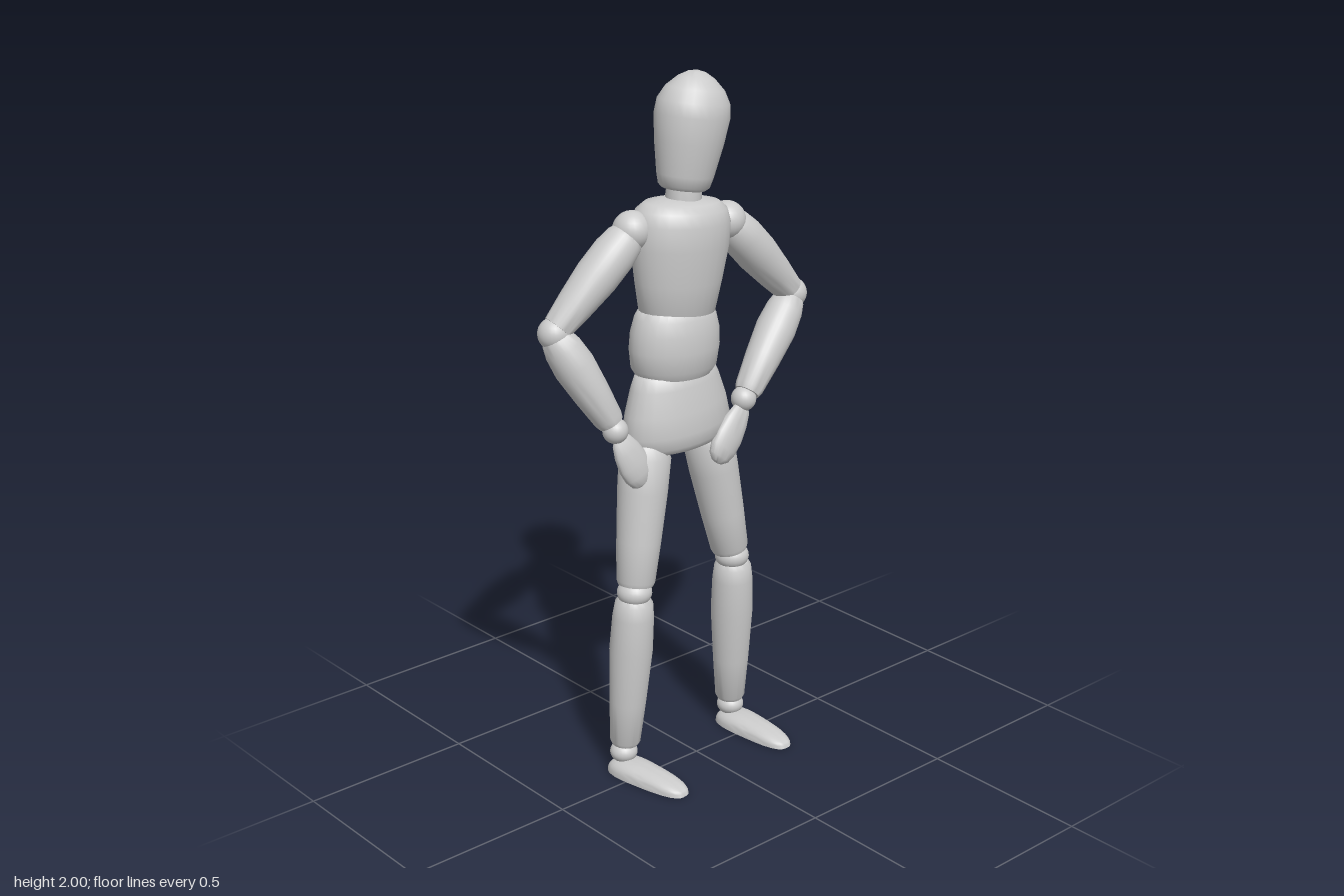
import * as THREE from 'three';
import { toCreasedNormals } from 'three/addons/utils/BufferGeometryUtils.js';

const material = new THREE.MeshStandardMaterial({ color: 0xcccccc });
const UP = new THREE.Vector3(0, 1, 0);

export function createModel() {
  const model = new THREE.Group();
  model.name = 'posableFigure';

  const add = (name, geometry) => {
    const mesh = new THREE.Mesh(geometry, material);
    mesh.name = name;
    model.add(mesh);
    return mesh;
  };

  // Turned part along the axis from a (lower) to b (upper).
  // profile: [fraction along the axis, radius]; depth flattens it front to back; yaw twists it.
  const turned = (name, a, b, profile, depth = 1, yaw = 0) => {
    const from = new THREE.Vector3(...a);
    const dir = new THREE.Vector3(...b).sub(from);
    const length = dir.length();
    const points = profile.map(([t, r]) => new THREE.Vector2(r, t * length));
    const lathe = new THREE.LatheGeometry(points, 28).scale(1, 1, depth).rotateY(yaw);
    const mesh = add(name, toCreasedNormals(lathe, 0.7));
    mesh.position.copy(from);
    mesh.quaternion.setFromUnitVectors(UP, dir.normalize());
  };

  const ball = (name, p, r, sy = 1) =>
    add(name, new THREE.SphereGeometry(r, 24, 16).scale(1, sy, 1)).position.set(...p);

  // Head and neck
  turned('head', [0.008, 1.685, -0.062], [0.058, 2.0, -0.062], [
    [0, 0], [0, 0.062], [0.03, 0.074], [0.12, 0.082], [0.4, 0.099], [0.62, 0.108],
    [0.74, 0.104], [0.85, 0.084], [0.94, 0.052], [0.985, 0.025], [1, 0]], 0.89);
  turned('neck', [0.006, 1.63, -0.062], [0.012, 1.71, -0.062],
    [[0, 0], [0, 0.048], [0.5, 0.05], [1, 0.046], [1, 0]]);

  // Torso
  turned('chest', [-0.016, 1.335, -0.063], [0.004, 1.662, -0.063], [
    [0, 0], [0, 0.105], [0.04, 0.114], [0.3, 0.13], [0.6, 0.146], [0.8, 0.147],
    [0.91, 0.135], [0.97, 0.11], [1, 0.06], [1, 0]], 0.71, -0.14);
  turned('abdomen', [-0.024, 1.17, -0.068], [-0.018, 1.365, -0.066], [
    [0, 0], [0, 0.115], [0.12, 0.131], [0.4, 0.138], [0.65, 0.135], [0.86, 0.124],
    [0.96, 0.112], [1, 0.09], [1, 0]], 0.72, -0.08);
  turned('pelvis', [-0.012, 0.962, -0.068], [-0.023, 1.195, -0.068], [
    [0, 0], [0, 0.13], [0.03, 0.155], [0.1, 0.17], [0.25, 0.178], [0.5, 0.167],
    [0.8, 0.145], [0.95, 0.13], [1, 0.11], [1, 0]], 0.58);

  // Joint positions of each arm and leg
  const sides = [
    {
      side: 'left', shoulder: [0.15, 1.578, -0.045], armTop: [0.162, 1.568, -0.045],
      armEnd: [0.381, 1.338, -0.036], elbow: [0.39, 1.325, -0.034],
      foreTop: [0.388, 1.318, -0.033], foreEnd: [0.183, 1.083, 0.008],
      wrist: [0.168, 1.068, 0.01], handTop: [0.168, 1.053, 0.014], handTip: [0.05, 0.908, 0.026],
      hip: [0.088, 1.0, -0.066], thighEnd: [0.17, 0.588, -0.046], knee: [0.179, 0.565, -0.047],
      shinTop: [0.182, 0.548, -0.046], shinEnd: [0.2, 0.085, -0.075],
      ankle: [0.206, 0.057, -0.08], foot: [0.21, 0, 0.022], toeTurn: 0.03,
    },
    {
      side: 'right', shoulder: [-0.15, 1.592, -0.09], armTop: [-0.162, 1.58, -0.092],
      armEnd: [-0.377, 1.358, -0.13], elbow: [-0.386, 1.342, -0.134],
      foreTop: [-0.387, 1.338, -0.132], foreEnd: [-0.264, 1.083, -0.05],
      wrist: [-0.255, 1.06, -0.043], handTop: [-0.25, 1.045, -0.036], handTip: [-0.175, 0.89, -0.015],
      hip: [-0.128, 1.0, -0.064], thighEnd: [-0.196, 0.588, -0.036], knee: [-0.199, 0.565, -0.037],
      shinTop: [-0.2, 0.548, -0.037], shinEnd: [-0.22, 0.085, -0.062],
      ankle: [-0.222, 0.057, -0.066], foot: [-0.213, 0, 0.035], toeTurn: 0.13,
    },
  ];

  for (const s of sides) {
    const label = (part) => s.side + part;

    // Arm
    ball(label('Shoulder'), s.shoulder, 0.054);
    turned(label('UpperArm'), s.armEnd, s.armTop, [
      [0, 0], [0, 0.041], [0.25, 0.051], [0.55, 0.06], [0.8, 0.06], [0.95, 0.053], [1, 0.046], [1, 0]]);
    ball(label('Elbow'), s.elbow, 0.045);
    turned(label('Forearm'), s.foreEnd, s.foreTop, [
      [0, 0], [0, 0.036], [0.05, 0.041], [0.35, 0.051], [0.65, 0.058], [0.85, 0.053],
      [0.96, 0.044], [1, 0.036], [1, 0]]);
    ball(label('Wrist'), s.wrist, 0.036);
    turned(label('Hand'), s.handTip, s.handTop, [
      [0, 0], [0.02, 0.02], [0.1, 0.038], [0.25, 0.048], [0.45, 0.05], [0.7, 0.043],
      [0.9, 0.031], [0.98, 0.018], [1, 0]], 0.52);

    // Leg
    turned(label('Thigh'), s.thighEnd, s.hip, [
      [0, 0], [0, 0.05], [0.03, 0.055], [0.3, 0.063], [0.65, 0.071], [0.88, 0.073], [0.96, 0.06], [1, 0.04], [1, 0]]);
    ball(label('Knee'), s.knee, 0.05, 0.8);
    turned(label('Shin'), s.shinEnd, s.shinTop, [
      [0, 0], [0, 0.038], [0.025, 0.044], [0.3, 0.053], [0.65, 0.062], [0.88, 0.059],
      [0.97, 0.054], [1, 0.045], [1, 0]]);
    ball(label('Ankle'), s.ankle, 0.04, 0.8);

    // Foot: a blunt, flat-soled dome that narrows and thins toward the toe
    const geometry = new THREE.SphereGeometry(1, 32, 20);
    const pos = geometry.attributes.position;
    for (let i = 0; i < pos.count; i++) {
      const x = pos.getX(i), y = pos.getY(i), z = pos.getZ(i);
      const blunt = Math.hypot(x, z) / (Math.cbrt(Math.abs(x) ** 3 + Math.abs(z) ** 3) || 1);
      const height = y > 1e-6 ? Math.pow(y, 0.7) * (0.042 - 0.01 * z) : 0;
      pos.setXYZ(i, x * blunt * (0.051 - 0.01 * z), height, z * blunt * 0.14);
    }
    const foot = add(label('Foot'), toCreasedNormals(geometry, 0.7));
    foot.position.set(...s.foot);
    foot.rotation.y = s.toeTurn;
  }

  return model;
}
